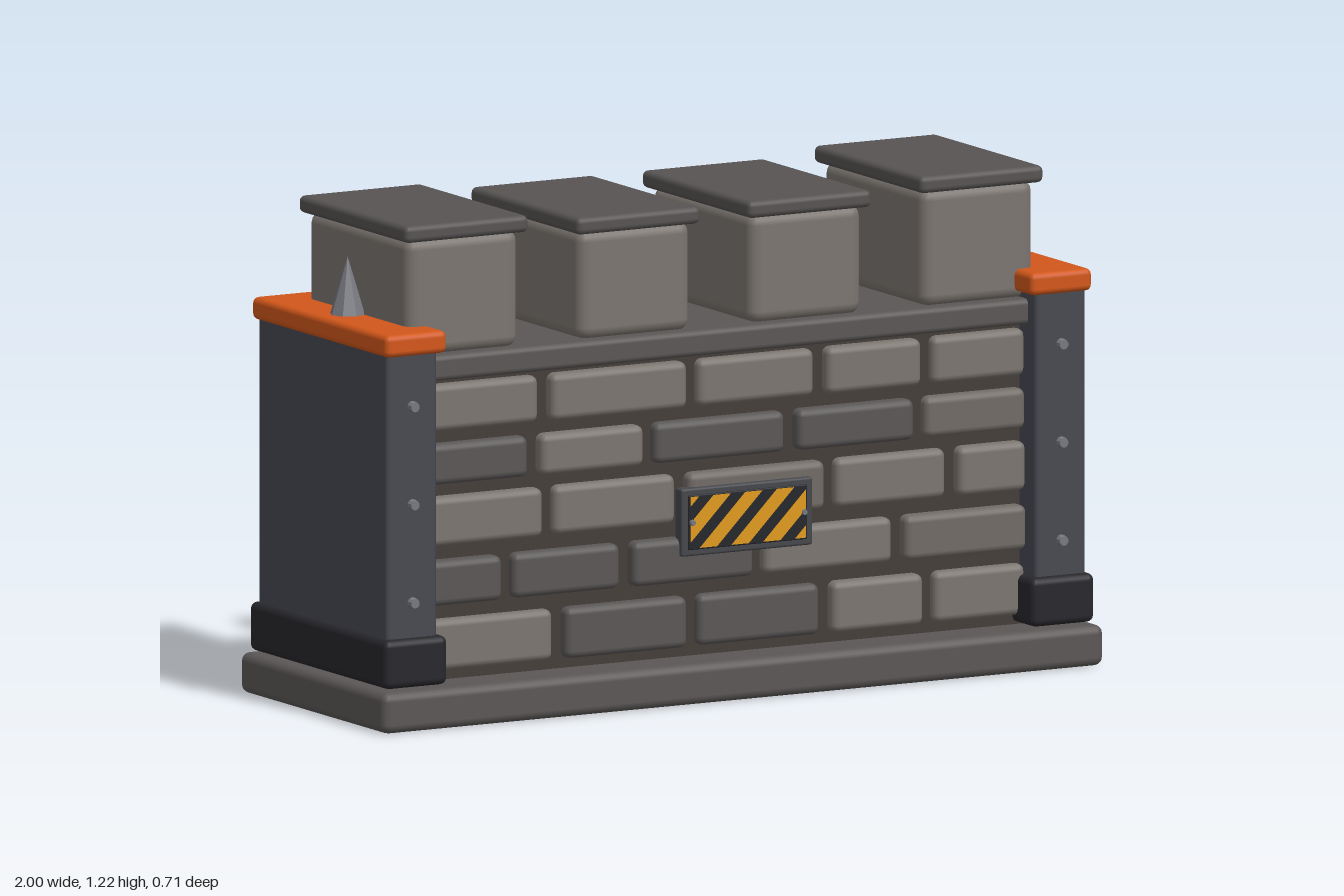
import * as THREE from 'three';
import { RoundedBoxGeometry } from 'three/addons/geometries/RoundedBoxGeometry.js';

const material = (color, flatShading = false) => new THREE.MeshStandardMaterial({ color, flatShading });
const MAT = {
  slab: material(0x5c5757),
  cap: material(0x565352),
  mortar: material(0x443d39),
  merlon: material(0x7b756f),
  bricks: [material(0x7b756f), material(0x716b66), material(0x5b5757)],
  post: material(0x484951),
  boot: material(0x27272c),
  orange: material(0xd2571a),
  metal: material(0x777980, true),
  sign: material(0x25262b),
  frame: material(0x46474c),
  yellow: material(0xe09a1c),
};

// Rounded box given by its lower and upper limits on each axis
function block(name, mat, [x0, x1], [y0, y1], [z0, z1], radius = 0.015) {
  const geo = new RoundedBoxGeometry(x1 - x0, y1 - y0, z1 - z0, 2, radius);
  const mesh = new THREE.Mesh(geo, mat);
  mesh.position.set((x0 + x1) / 2, (y0 + y1) / 2, (z0 + z1) / 2);
  mesh.name = name;
  return mesh;
}

// Each course: bottom, top, centres of the joints, shades on the front and the back
const COURSES = [
  [0.125, 0.25, [-0.46, -0.09, 0.28, 0.565], [0, 2, 2, 0, 0], [0, 0, 0, 1, 0]],
  [0.285, 0.395, [-0.605, -0.275, 0.092, 0.48], [2, 2, 2, 0, 1], [0, 2, 0, 0, 1]],
  [0.43, 0.55, [-0.49, -0.12, 0.292, 0.63], [0, 0, 1, 0, 0], [0, 0, 1, 0, 0]],
  [0.58, 0.68, [-0.53, -0.212, 0.182, 0.538], [2, 0, 2, 2, 1], [2, 0, 0, 2, 1]],
  [0.71, 0.825, [-0.5, -0.09, 0.265, 0.56], [0, 0, 0, 0, 0], [0, 2, 0, 0, 0]],
];

function brickFace(name, shadeColumn) {
  const face = new THREE.Group();
  face.name = name;
  COURSES.forEach((course, row) => {
    const [y0, y1, joints] = course;
    const edges = [-0.85, ...joints, 0.85];
    for (let i = 0; i < 5; i++) {
      const front = 0.262 + ((row * 3 + i * 2) % 4) * 0.003;
      face.add(block('brick', MAT.bricks[course[shadeColumn][i]],
        [edges[i] + 0.017, edges[i + 1] - 0.017], [y0, y1], [0.19, front], 0.018));
    }
  });
  return face;
}

// Cuts a polygon at a vertical line, keeping the side given by sign
function clipX(points, limit, sign) {
  const out = [];
  points.forEach((a, i) => {
    const b = points[(i + 1) % points.length];
    const da = (a.x - limit) * sign, db = (b.x - limit) * sign;
    if (da >= 0) out.push(a);
    if (da * db < 0) out.push(a.clone().lerp(b, da / (da - db)));
  });
  return out;
}

function warningSign() {
  const sign = new THREE.Group();
  sign.name = 'warningSign';
  sign.add(block('signFrame', MAT.frame, [-0.182, 0.182], [-0.083, 0.083], [-0.035, 0], 0.006));
  sign.add(block('signPanel', MAT.sign, [-0.165, 0.165], [-0.067, 0.067], [-0.01, 0.004], 0.003));
  // Slanted stripes, trimmed to the panel
  const w = 0.16, h = 0.063;
  for (let x = -0.31; x < w; x += 0.088) {
    let pts = [[x, -h], [x + 0.047, -h], [x + 0.047 + 2 * h, h], [x + 2 * h, h]]
      .map(([px, py]) => new THREE.Vector2(px, py));
    pts = clipX(clipX(pts, -w, 1), w, -1);
    if (pts.length < 3) continue;
    const geo = new THREE.ExtrudeGeometry(new THREE.Shape(pts), { depth: 0.003, bevelEnabled: false });
    const stripe = new THREE.Mesh(geo, MAT.yellow);
    stripe.position.z = 0.003;
    stripe.name = 'stripe';
    sign.add(stripe);
  }
  for (const side of [-1, 1]) sign.add(rivet('signBolt', side * 0.155, 0, 0.007, 0.008, 0.008));
  sign.position.set(0.048, 0.434, 0.282);
  return sign;
}

function rivet(name, x, y, z, radius, depth) {
  const mesh = new THREE.Mesh(new THREE.CylinderGeometry(radius * 0.8, radius, depth, 10), MAT.metal);
  mesh.rotation.x = Math.PI / 2;
  mesh.position.set(x, y, z);
  mesh.name = name;
  return mesh;
}

// End pier with boot, coloured cap, rivets and spike
function pier(name) {
  const group = new THREE.Group();
  group.name = name;
  group.add(block('post', MAT.post, [0.83, 0.97], [0.11, 0.93], [-0.315, 0.315], 0.012));
  group.add(block('boot', MAT.boot, [0.81, 0.985], [0.105, 0.225], [-0.335, 0.335], 0.018));
  group.add(block('pierCap', MAT.orange, [0.81, 0.98], [0.915, 0.97], [-0.33, 0.33], 0.015));
  const spike = new THREE.Mesh(new THREE.ConeGeometry(0.045, 0.145, 8), MAT.metal);
  spike.position.set(0.9, 1.038, 0);
  spike.name = 'spike';
  group.add(spike);
  for (const y of [0.31, 0.55, 0.79]) {
    const front = rivet('rivet', 0.9, y, 0.32, 0.015, 0.02);
    const back = rivet('rivet', 0.9, y, -0.32, 0.015, 0.02);
    back.rotation.x = -Math.PI / 2;
    group.add(front, back);
  }
  return group;
}

export function createModel() {
  const wall = new THREE.Group();
  wall.name = 'battlementWall';

  wall.add(block('baseSlab', MAT.slab, [-1, 1], [0, 0.1], [-0.355, 0.355], 0.022));
  wall.add(block('mortarCore', MAT.mortar, [-0.85, 0.85], [0.08, 0.86], [-0.235, 0.235], 0.01));
  wall.add(block('coping', MAT.slab, [-0.86, 0.86], [0.837, 0.9], [-0.277, 0.277], 0.014));

  // Brick courses on both faces
  const back = brickFace('backBricks', 4);
  back.rotation.y = Math.PI;
  wall.add(brickFace('frontBricks', 3), back, warningSign());

  // Merlons with overhanging caps, the outer pair slightly taller
  for (const [x, top] of [[-0.717, 1.22], [-0.24, 1.2], [0.235, 1.2], [0.712, 1.22]]) {
    wall.add(block('merlon', MAT.merlon, [x - 0.155, x + 0.155], [0.895, top - 0.035], [-0.247, 0.247], 0.03));
    wall.add(block('merlonCap', MAT.cap, [x - 0.171, x + 0.171], [top - 0.042, top], [-0.264, 0.264], 0.014));
  }

  const right = pier('rightPier');
  right.rotation.y = Math.PI;
  wall.add(pier('leftPier'), right);
  return wall;
}
